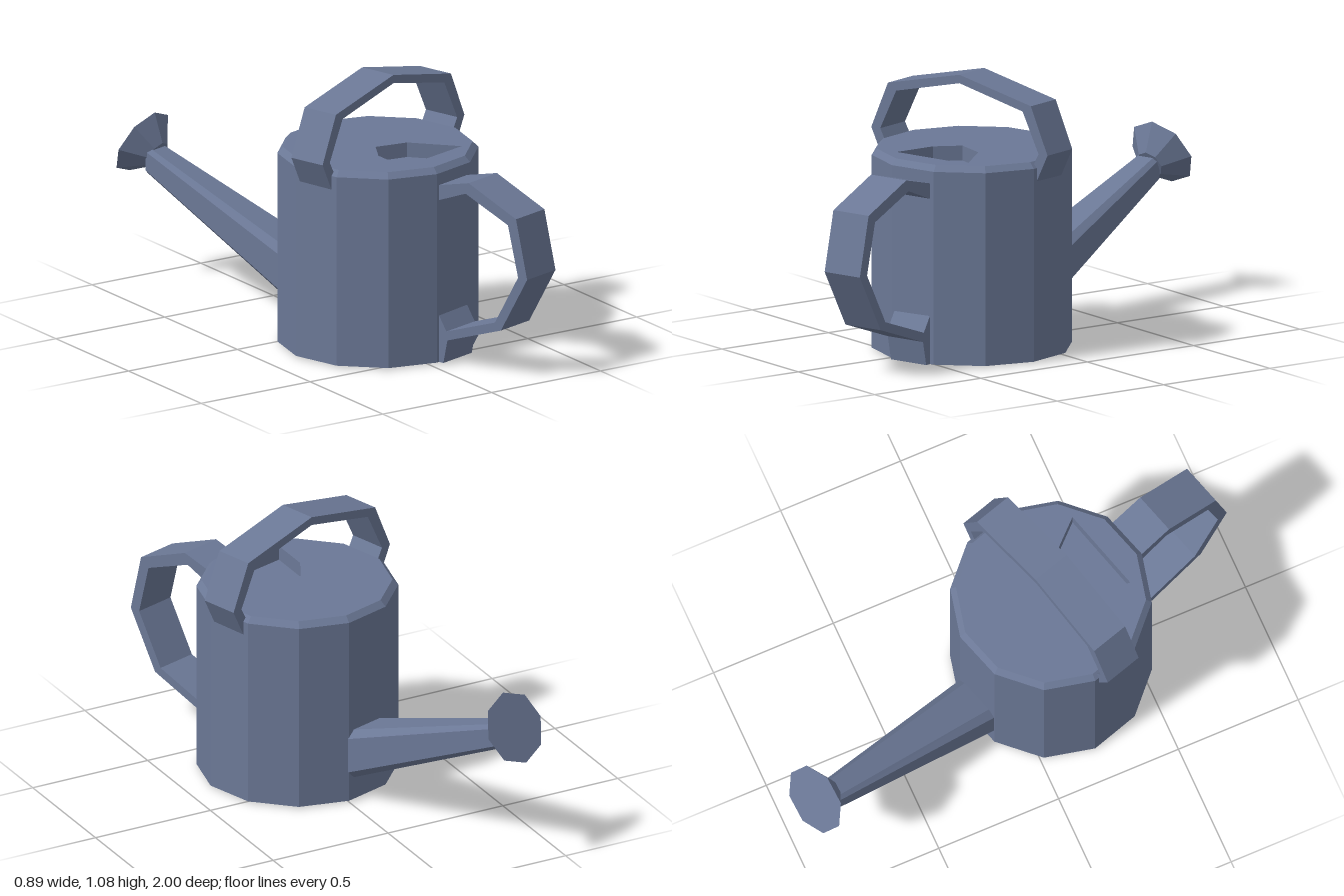
import * as THREE from 'three';

const CX = 0.015, CZ = 0.195;      // body axis
const TURN = 16.7 * Math.PI / 180; // spout and handles are turned about the body
const R = 0.386, SIDES = 12, TWIST = 2.2 * Math.PI / 180;

const enamel = new THREE.MeshStandardMaterial({ color: 0x6b7896 });
enamel.name = 'blueEnamel';
const bare = new THREE.MeshStandardMaterial({ color: 0xa8a49c });
bare.name = 'bareMetal';

// Faceted mesh: every face keeps its own normal
function part(name, geometry, material, parent) {
  const g = geometry.index ? geometry.toNonIndexed() : geometry;
  g.computeVertexNormals();
  const mesh = new THREE.Mesh(g, material);
  mesh.name = name;
  parent.add(mesh);
  return mesh;
}

const vectors = (pts) => pts.map(([x, y]) => new THREE.Vector2(x, y));

// Flat band cut from a side profile, centred across its width
function band(profile, width) {
  const g = new THREE.ExtrudeGeometry(new THREE.Shape(vectors(profile)), { depth: width, bevelEnabled: false });
  return g.translate(0, 0, -width / 2);
}

// Solid through rings of points, all in the same order
function loft(rings) {
  const pos = [], n = rings[0].length;
  for (let r = 0; r < rings.length - 1; r++) {
    for (let i = 0; i < n; i++) {
      const j = (i + 1) % n, a = rings[r][i], b = rings[r][j], c = rings[r + 1][j], d = rings[r + 1][i];
      pos.push(...a, ...b, ...d, ...b, ...c, ...d);
    }
  }
  const g = new THREE.BufferGeometry();
  g.setAttribute('position', new THREE.Float32BufferAttribute(pos, 3));
  return g;
}

export function createModel() {
  const can = new THREE.Group();
  can.name = 'wateringCan';
  can.position.set(CX, 0, CZ);

  // Body: twelve-sided wall, bevelled rim and base
  const wall = new THREE.CylinderGeometry(R, R, 0.754, SIDES, 1, true).rotateY(TWIST).translate(0, 0.383, 0);
  part('bodyWall', wall, enamel, can);
  const rim = new THREE.CylinderGeometry(0.364, R, 0.023, SIDES, 1, true).rotateY(TWIST).translate(0, 0.7715, 0);
  part('bodyRim', rim, enamel, can);
  const base = new THREE.CircleGeometry(R, SIDES).rotateZ(Math.PI / 2).rotateX(Math.PI / 2).rotateY(TWIST);
  part('bodyBase', base.translate(0, 0.006, 0), enamel, can);

  // Lid with the filler opening
  const opening = [[-0.066, 0.49], [-0.066, 0.32], [-0.012, 0.22], [0.12, 0.24], [0.266, 0.395]]
    .map(([x, z]) => [x - CX, z - CZ]);
  const lidShape = new THREE.Shape();
  for (let i = 0; i < SIDES; i++) {
    const a = TWIST + i * 2 * Math.PI / SIDES;
    const x = 0.364 * Math.sin(a), y = -0.364 * Math.cos(a);
    if (i) lidShape.lineTo(x, y); else lidShape.moveTo(x, y);
  }
  lidShape.closePath();
  const flat = vectors(opening.map(([x, z]) => [x, -z]));
  lidShape.holes.push(new THREE.Path(flat));
  part('lid', new THREE.ShapeGeometry(lidShape).rotateX(-Math.PI / 2).translate(0, 0.783, 0), enamel, can);
  part('openingFloor', new THREE.ShapeGeometry(new THREE.Shape(flat)).rotateX(-Math.PI / 2).translate(0, 0.725, 0), enamel, can);
  const ring = (y) => opening.map(([x, z]) => [x, y, z]);
  part('openingWall', loft([ring(0.725), ring(0.783)].map((r) => r.reverse()).reverse()), enamel, can);

  // Worn patch under the base
  const patch = [[-0.32, 0.08], [-0.27, 0.2], [-0.1, 0.27], [0.1, 0.3], [0.18, 0.28], [0.25, 0.12], [0.27, 0.05],
    [0.24, -0.1], [0.12, -0.1], [0.1, -0.22], [-0.03, -0.32], [-0.11, -0.25], [-0.22, -0.12]];
  const patchShape = new THREE.Shape(vectors(patch.map(([r, w]) => [(w - r) * Math.SQRT1_2, (-r - w) * Math.SQRT1_2])));
  part('basePatch', new THREE.ShapeGeometry(patchShape).rotateX(Math.PI / 2), bare, can);

  const fittings = new THREE.Group();
  fittings.name = 'fittings';
  fittings.rotation.y = TURN;
  can.add(fittings);

  // Carrying handle arched over the lid
  const outer = [[0.355, 0.67], [0.425, 0.815], [0.345, 0.998]];
  const inner = [[0.32, 0.7], [0.382, 0.815], [0.305, 0.972]];
  const mirror = (pts) => pts.map(([x, y]) => [-x, y]).reverse();
  part('topHandle', band([...outer, [0, 1.075], ...mirror(outer), ...inner.map(([x, y]) => [-x, y]),
    [0, 1.042], ...inner.slice().reverse()], 0.155), enamel, fittings);

  // Pouring handle with a flared foot
  const grip = [[0.34, 0.705], [0.52, 0.75], [0.755, 0.652], [0.81, 0.42], [0.68, 0.192], [0.415, 0.1], [0.395, 0.006],
    [0.34, 0.006], [0.34, 0.205], [0.365, 0.205], [0.41, 0.135], [0.65, 0.218], [0.765, 0.42], [0.715, 0.62],
    [0.505, 0.705], [0.34, 0.64]];
  part('rearHandle', band(grip, 0.17).rotateY(-Math.PI / 2), enamel, fittings);

  // Tapering spout with chamfered corners
  const section = [[1, 0.7], [0.7, 1], [-0.7, 1], [-1, 0.7], [-1, -0.7], [-0.7, -1], [0.7, -1], [1, -0.7]];
  const spoutRing = (y, z, w, h) => section.map(([a, b]) => [a * w, y + b * h, z]).reverse();
  part('spout', loft([spoutRing(0.18, -0.33, 0.104, 0.104), spoutRing(0.508, -1.11, 0.05, 0.053)]), enamel, fittings);

  // Sprinkler rose, eight-sided, facing along the spout
  const rose = part('sprinklerRose', new THREE.CylinderGeometry(0.142, 0.056, 0.085, 8), enamel, fittings);
  rose.position.set(0.01, 0.54, -1.138);
  rose.rotation.x = -Math.PI / 2 + 26 * Math.PI / 180;

  const model = new THREE.Group();
  model.add(can);
  return model;
}
